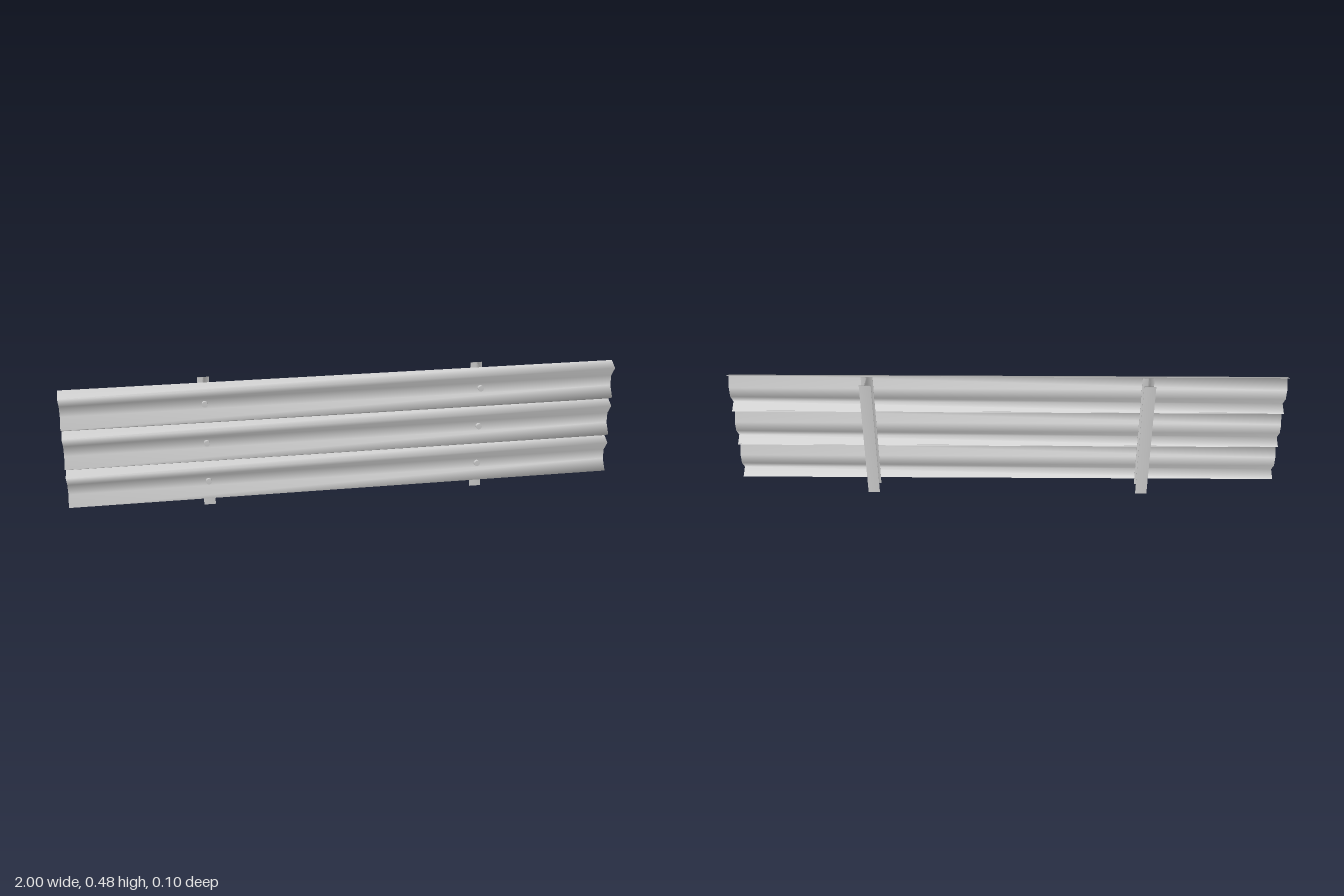
import * as THREE from 'three';
import { mergeVertices } from 'three/addons/utils/BufferGeometryUtils.js';

const steel = new THREE.MeshStandardMaterial({ color: 0xcccccc });
const sheet = new THREE.MeshStandardMaterial({ color: 0xcccccc, side: THREE.DoubleSide });

const POST_X = [-0.5, 0.5];
const RAIL_Y = [0.101, 0.251, 0.401];

// One corrugated strip: [y, z] section swept along x
function railGeometry() {
  const section = [
    [-0.0765, 0.012], [-0.058, 0.049], [-0.019, 0.021],
    [0.019, 0.021], [0.058, 0.049], [0.0765, 0.012],
  ];
  const geo = new THREE.PlaneGeometry(2, 1, 1, section.length - 1);
  const pos = geo.attributes.position;
  for (let i = 0; i < pos.count; i++) {
    const [y, z] = section[section.length - 1 - Math.floor(i / 2)];
    pos.setY(i, y);
    pos.setZ(i, z);
  }
  geo.computeVertexNormals();
  return geo;
}

// I-beam section in x/z, extruded upwards, with softened shading
function postGeometry() {
  const w = 0.021, web = 0.002, front = 0.012, back = -0.048, t = 0.004;
  const half = [
    [w, front], [w, front - t], [web, front - t],
    [web, back + t], [w, back + t], [w, back],
  ];
  const outline = [...half, ...half.map(([x, z]) => [-x, z]).reverse()];
  const shape = new THREE.Shape(outline.map(([x, z]) => new THREE.Vector2(x, -z)));
  const geo = new THREE.ExtrudeGeometry(shape, { depth: 0.476, bevelEnabled: false });
  geo.rotateX(-Math.PI / 2);
  geo.deleteAttribute('normal');
  geo.deleteAttribute('uv');
  const smooth = mergeVertices(geo, 1e-5);
  smooth.computeVertexNormals();
  return smooth;
}

export function createModel() {
  const model = new THREE.Group();
  model.name = 'guardRail';

  const add = (name, geo, mat, x, y, z) => {
    const mesh = new THREE.Mesh(geo, mat);
    mesh.name = name;
    mesh.position.set(x, y, z);
    model.add(mesh);
  };

  // Three stacked rails, slightly overlapping
  const rail = railGeometry();
  RAIL_Y.forEach((y) => add('rail', rail, sheet, 0, y, 0));

  // Posts, with a bolt through each rail
  const post = postGeometry();
  const bolt = new THREE.CylinderGeometry(0.0108, 0.0108, 0.011, 16).rotateX(Math.PI / 2);
  POST_X.forEach((x) => {
    add('post', post, steel, x, 0, 0);
    RAIL_Y.forEach((y) => add('bolt', bolt, steel, x, y, 0.0265));
  });

  return model;
}
